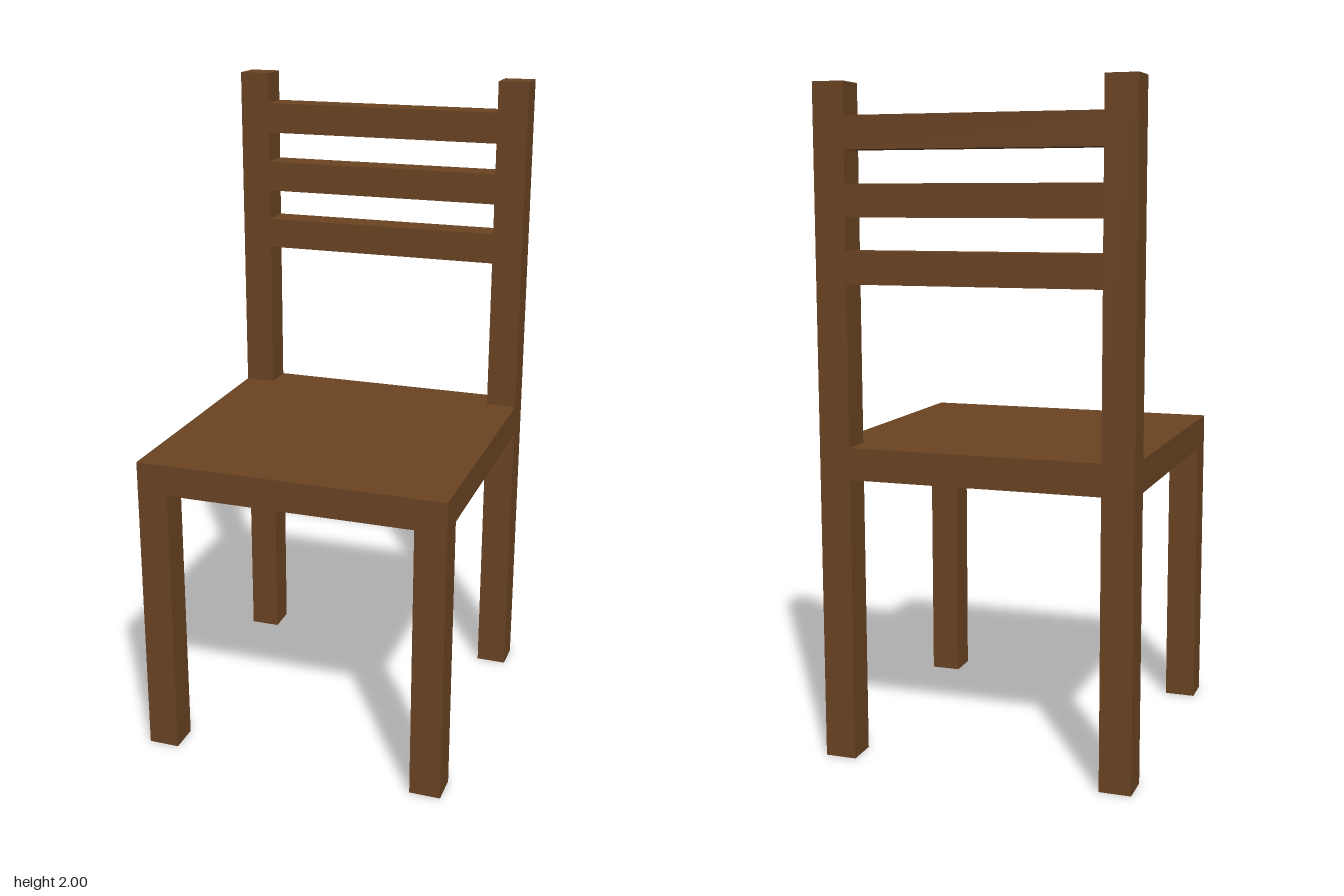
import * as THREE from 'three';

export function createModel() {
  const chair = new THREE.Group();
  chair.name = 'chair';

  const wood = new THREE.MeshStandardMaterial({ color: 0x6b4423 });
  wood.name = 'brown wood';

  const T = 2 / 21;        // thickness of every timber
  const W = 10 * T;        // seat width and depth
  const EDGE = W / 2 - T / 2; // centre line of legs and posts
  const SEAT_BOTTOM = 9 * T;
  const SEAT_TOP = 10 * T;

  // Box placed by its bottom height
  function addBox(name, width, height, depth, x, bottom, z) {
    const mesh = new THREE.Mesh(new THREE.BoxGeometry(width, height, depth), wood);
    mesh.name = name;
    mesh.position.set(x, bottom + height / 2, z);
    chair.add(mesh);
  }

  addBox('seat', W, T, W, 0, SEAT_BOTTOM, 0);

  // Legs below the seat, back posts above it
  for (const [side, x] of [['left', EDGE], ['right', -EDGE]]) {
    addBox(`${side}FrontLeg`, T, SEAT_BOTTOM, T, x, 0, EDGE);
    addBox(`${side}BackLeg`, T, SEAT_BOTTOM, T, x, 0, -EDGE);
    addBox(`${side}BackPost`, T, 2 - SEAT_TOP, T, x, SEAT_TOP, -EDGE);
  }

  // Three back slats between the posts
  ['lower', 'middle', 'upper'].forEach((level, i) => {
    addBox(`${level}BackSlat`, W - 2 * T, T, T, 0, (15 + 2 * i) * T, -EDGE);
  });

  return chair;
}
